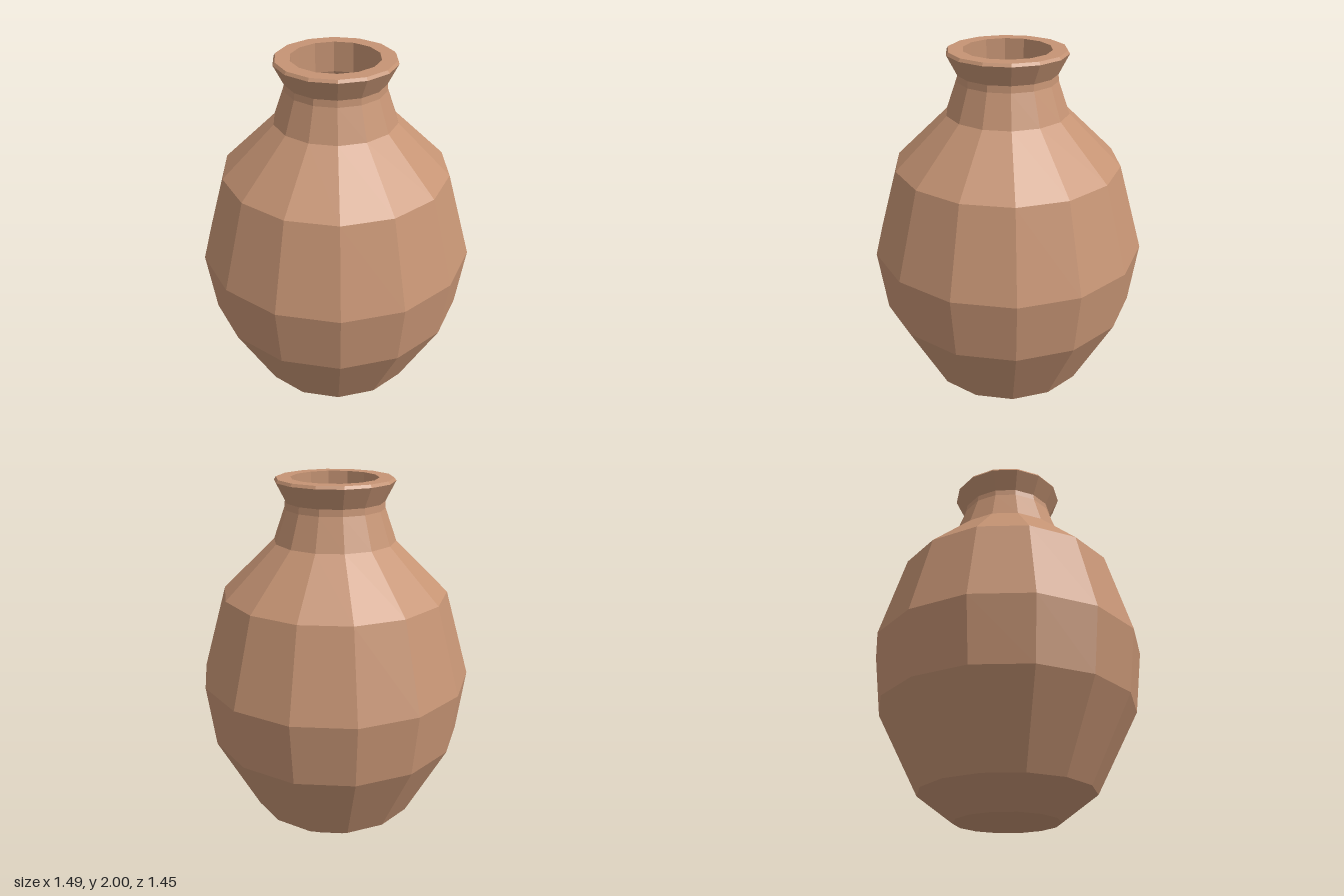
import * as THREE from 'three';

const SIDES = 14;

export function createModel() {
  const group = new THREE.Group();
  group.name = 'clayJar';
  const clay = new THREE.MeshStandardMaterial({ color: 0xc69474, flatShading: true });

  // Faceted ring of revolution with a corner on the x axis
  function turned(name, profile) {
    const points = profile.map(([r, y]) => new THREE.Vector2(r, y));
    const mesh = new THREE.Mesh(new THREE.LatheGeometry(points, SIDES, Math.PI / 2), clay);
    mesh.name = name;
    group.add(mesh);
  }

  // Flat base, round belly, shoulder and neck
  turned('body', [
    [0, 0], [0.28, 0], [0.47, 0.14], [0.7, 0.585], [0.743, 0.93],
    [0.607, 1.4], [0.325, 1.675], [0.265, 1.845],
  ]);

  // Flared lip with a small bevel and a flat top
  turned('lip', [
    [0.265, 1.845], [0.262, 1.88], [0.316, 1.985], [0.306, 2], [0.23, 2],
  ]);

  // Hollow inside, running from the mouth down to the floor
  turned('interior', [
    [0.23, 2], [0.23, 1.88], [0.23, 1.84], [0.295, 1.65], [0.575, 1.38],
    [0.705, 0.93], [0.662, 0.595], [0.44, 0.165], [0.27, 0.04], [0, 0.04],
  ]);

  return group;
}
